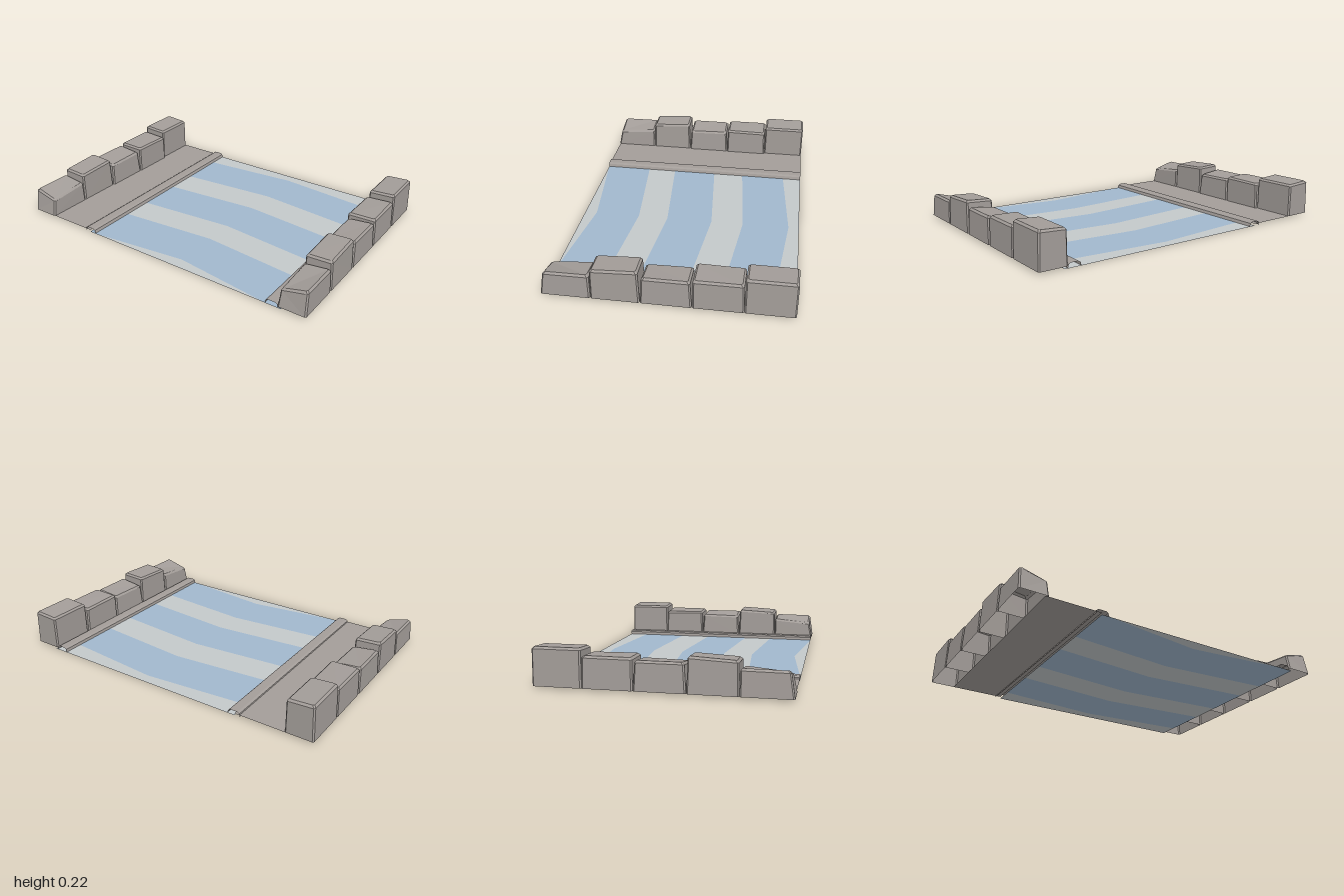
import * as THREE from 'three';

const stone = new THREE.MeshStandardMaterial({ color: 0xa39d99, side: THREE.DoubleSide });
stone.name = 'stone';
stone.flatShading = true;
const waterBlue = new THREE.MeshStandardMaterial({ color: 0xa1b8cd, side: THREE.DoubleSide });
waterBlue.name = 'water blue';
const waterPale = new THREE.MeshStandardMaterial({ color: 0xc3c8ca, side: THREE.DoubleSide });
waterPale.name = 'water pale';

const HALF = 0.69; // half length along z
const GROUND = 0.012;

function geometryFrom(positions, indices) {
  const g = new THREE.BufferGeometry();
  g.setAttribute('position', new THREE.Float32BufferAttribute(positions, 3));
  g.setIndex(indices);
  g.computeVertexNormals();
  return g;
}

function add(parent, geometry, material, name) {
  const mesh = new THREE.Mesh(geometry, material);
  mesh.name = name;
  parent.add(mesh);
  return mesh;
}

// Strip swept along z through [x, y] profile points, open at both ends
function strip(profile) {
  const pos = [], idx = [];
  profile.forEach(([x, y], i) => {
    pos.push(x, y, -HALF, x, y, HALF);
    if (i) {
      const a = 2 * i - 2;
      idx.push(a, a + 1, a + 2, a + 2, a + 1, a + 3);
    }
  });
  return geometryFrom(pos, idx);
}

// Bevelled block, open underneath: three stacked chamfered rings and a cap.
// side is +1 or -1; heights are front inner, front outer, back inner, back outer.
function stoneBlock({ front, back, topFront, topBack, inner, topInner, heights }, side) {
  const [fi, fo, bi, bo] = heights;
  const lerp = THREE.MathUtils.lerp;
  const pos = [], idx = [];
  const rings = [
    { top: 0, drop: 0, inset: 0 },
    { top: 1, drop: 0.012, inset: 0 },
    { top: 1, drop: 0, inset: 0.011 },
  ];
  const cut = 0.008;
  for (const { top, drop, inset } of rings) {
    const x0 = (top ? topInner : inner) + inset;
    const x1 = (top ? 0.995 : 1) - inset;
    const z0 = (top ? topBack : back) + inset;
    const z1 = (top ? topFront : front) - inset;
    const ring = [
      [x0 + cut, z1], [x1 - cut, z1], [x1, z1 - cut], [x1, z0 + cut],
      [x1 - cut, z0], [x0 + cut, z0], [x0, z0 + cut], [x0, z1 - cut],
    ];
    for (const [x, z] of ring) {
      const u = (x - x0) / (x1 - x0), v = (z - z0) / (z1 - z0);
      const h = lerp(lerp(bi, bo, u), lerp(fi, fo, u), v) - drop;
      pos.push(side * x, top ? h : GROUND, z);
    }
  }
  const tri = (a, b, c) => (side > 0 ? idx.push(a, b, c) : idx.push(a, c, b));
  for (let r = 0; r < 2; r++) {
    for (let i = 0; i < 8; i++) {
      const a = r * 8 + i, b = r * 8 + ((i + 1) % 8);
      tri(a, b, a + 8);
      tri(b, b + 8, a + 8);
    }
  }
  for (let i = 1; i < 7; i++) tri(16, 16 + i, 17 + i);
  return geometryFrom(pos, idx);
}

export function createModel() {
  const model = new THREE.Group();
  model.name = 'canalSegment';

  // Rows of uneven stones, from front to back
  const blocks = [
    { front: 0.695, back: 0.418, topFront: 0.675, topBack: 0.42, inner: 0.83, topInner: 0.835, heights: [0.118, 0.155, 0.14, 0.157] },
    { front: 0.416, back: 0.146, topFront: 0.414, topBack: 0.152, inner: 0.83, topInner: 0.835, heights: [0.188, 0.195, 0.2, 0.208] },
    { front: 0.144, back: -0.136, topFront: 0.135, topBack: -0.127, inner: 0.822, topInner: 0.83, heights: [0.155, 0.174, 0.16, 0.174] },
    { front: -0.138, back: -0.416, topFront: -0.14, topBack: -0.412, inner: 0.818, topInner: 0.82, heights: [0.182, 0.186, 0.178, 0.187] },
    { front: -0.416, back: -0.69, topFront: -0.418, topBack: -0.69, inner: 0.83, topInner: 0.832, heights: [0.216, 0.225, 0.216, 0.225] },
  ];
  for (const side of [1, -1]) {
    const row = new THREE.Group();
    row.name = side > 0 ? 'leftStoneRow' : 'rightStoneRow';
    blocks.forEach((b, i) => add(row, stoneBlock(b, side), stone, `stoneBlock${i + 1}`));
    model.add(row);
  }

  // Paved bank beside the water
  add(model, strip([[-0.85, GROUND], [-0.52, GROUND]]), stone, 'bankFloor');

  // Low rounded curbs on both edges of the water
  const curb = [[-0.04, 0.002], [-0.037, 0.02], [-0.025, 0.028], [0.022, 0.028], [0.034, 0.02], [0.04, 0.002]];
  for (const [name, cx] of [['rightCurb', -0.515], ['leftCurb', 0.793]]) {
    add(model, strip(curb.map(([x, y]) => [x + cx, y])), stone, name);
  }

  // Water surface in chevron bands of alternating colour
  const xs = [-0.52, -0.475, 0.14, 0.755, 0.85];
  const edges = [-1.5, -0.57, -0.282, -0.082, 0.203, 0.39, 0.69, 1.5];
  const edgeZ = (e, x) =>
    THREE.MathUtils.clamp(e - 0.055 * (1 - Math.abs(x - 0.14) / 0.615) - (e === 0.69 ? 0.02 * (1 - Math.abs(x - 0.14) / 0.615) : 0), -HALF, HALF);
  for (let k = 0; k < edges.length - 1; k++) {
    const pos = [], idx = [];
    xs.forEach((x, i) => {
      pos.push(x, 0, edgeZ(edges[k], x), x, 0, edgeZ(edges[k + 1], x));
      if (i) {
        const a = 2 * i - 2;
        idx.push(a, a + 1, a + 2, a + 2, a + 1, a + 3);
      }
    });
    add(model, geometryFrom(pos, idx), k % 2 ? waterBlue : waterPale, `waterBand${k + 1}`);
  }
  return model;
}
